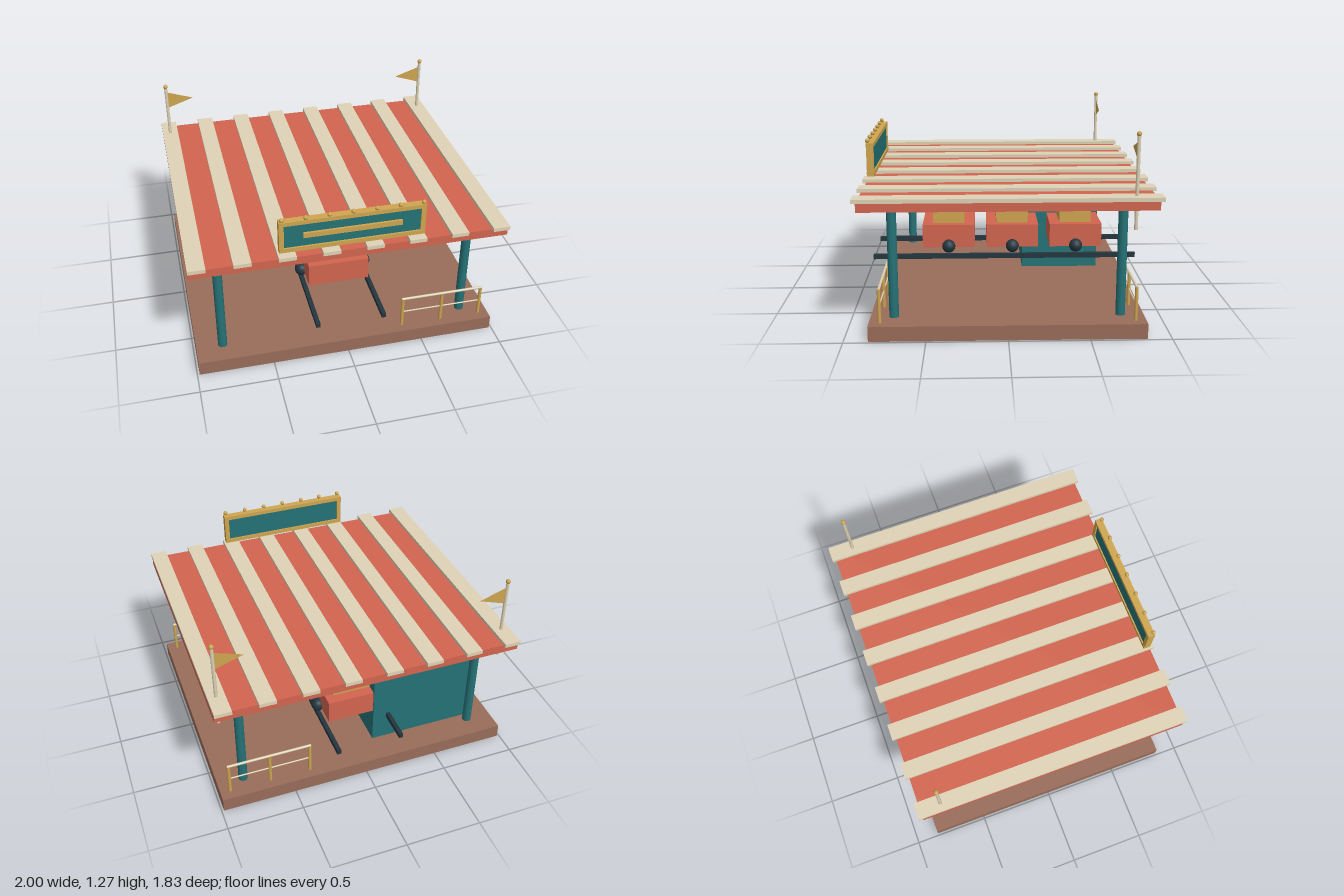
import * as THREE from 'three';

const mat = (color, side = THREE.FrontSide) => new THREE.MeshStandardMaterial({ color, side });
const RED = mat(0xd2654f), CREAM = mat(0xdfd3b6), TEAL = mat(0x257276), GOLD = mat(0xcfa650);
const BROWN = mat(0x996c59), DARK = mat(0x24363f), GLASS = mat(0x73a7b3);
const FLAG = mat(0xcfa650, THREE.DoubleSide);

function add(parent, name, geometry, material, x, y, z) {
  const mesh = new THREE.Mesh(geometry, material);
  mesh.name = name;
  mesh.position.set(x, y, z);
  parent.add(mesh);
  return mesh;
}

// Box given by its extents along each axis
function box(parent, name, material, [x0, x1], [y0, y1], [z0, z1]) {
  return add(parent, name, new THREE.BoxGeometry(x1 - x0, y1 - y0, z1 - z0), material,
    (x0 + x1) / 2, (y0 + y1) / 2, (z0 + z1) / 2);
}

// Upright round pole from y0 to y1
function pole(parent, name, material, r, x, y0, y1, z, sides = 10) {
  return add(parent, name, new THREE.CylinderGeometry(r, r, y1 - y0, sides), material, x, (y0 + y1) / 2, z);
}

function ball(parent, name, material, r, x, y, z, sides = 8) {
  return add(parent, name, new THREE.SphereGeometry(r, sides, Math.max(6, sides / 2)), material, x, y, z);
}

function group(parent, name) {
  const g = new THREE.Group();
  g.name = name;
  parent.add(g);
  return g;
}

export function createModel() {
  const model = new THREE.Group();
  model.name = 'rideStation';

  // Platform and roof posts
  box(model, 'platform', BROWN, [-0.985, 0.985], [0, 0.095], [-0.85, 0.85]);
  for (const x of [-0.812, 0.812])
    for (const z of [-0.704, 0.704]) pole(model, 'roofPost', TEAL, 0.03, x, 0.095, 0.812, z, 16);

  // Striped roof
  const roof = group(model, 'roof');
  box(roof, 'roofSlab', RED, [-0.998, 0.998], [0.81, 0.867], [-0.892, 0.892]);
  for (let i = 0; i < 8; i++) {
    const x = -0.946 + i * 0.2703;
    box(roof, 'roofStripe', CREAM, [x - 0.054, x + 0.054], [0.863, 0.888], [-0.917, 0.917]);
  }

  // Framed sign with a row of bulbs
  const sign = group(model, 'sign');
  box(sign, 'signPanel', TEAL, [-0.44, 0.44], [0.915, 1.11], [0.85, 0.877]);
  box(sign, 'signBar', GOLD, [-0.304, 0.304], [0.997, 1.03], [0.87, 0.892]);
  for (const [y0, y1] of [[0.906, 0.934], [1.093, 1.12]])
    box(sign, 'signFrameRail', GOLD, [-0.451, 0.451], [y0, y1], [0.841, 0.888]);
  for (const s of [-1, 1])
    box(sign, 'signFrameSide', GOLD, [s * 0.436 - 0.015, s * 0.436 + 0.015], [0.907, 1.119], [0.842, 0.887]);
  for (let i = -3; i <= 3; i++) ball(sign, 'signBulb', GOLD, 0.0145, i * 0.1443, 1.135, 0.88);

  // Flagpoles with pennants pointing inward
  for (const s of [-1, 1]) {
    const flagpole = group(model, 'flagpole');
    pole(flagpole, 'flagpoleShaft', CREAM, 0.011, s * 0.947, 0.68, 1.25, -0.758);
    ball(flagpole, 'flagpoleFinial', GOLD, 0.016, s * 0.947, 1.257, -0.758);
    const pennant = new THREE.Shape([
      new THREE.Vector2(0, -0.06), new THREE.Vector2(-s * 0.178, 0), new THREE.Vector2(0, 0.06)]);
    add(flagpole, 'pennant', new THREE.ShapeGeometry(pennant), FLAG, s * 0.939, 1.152, -0.758);
  }

  // Control booth with front window
  const booth = group(model, 'booth');
  box(booth, 'boothBody', TEAL, [-0.863, -0.11], [0.109, 0.624], [-0.672, -0.134]);
  box(booth, 'boothWindow', GLASS, [-0.703, -0.272], [0.397, 0.583], [-0.145, -0.124]);

  // Track rails
  for (const x of [-0.216, 0.216])
    box(model, 'trackRail', DARK, [x - 0.0135, x + 0.0135], [0.281, 0.313], [-0.892, 0.892]);

  // Train cars
  for (const z of [0.381, -0.052, -0.485]) {
    const car = group(model, 'car');
    box(car, 'carBody', RED, [-0.202, 0.202], [0.354, 0.511], [z - 0.177, z + 0.177]);
    box(car, 'carCabin', GOLD, [-0.149, 0.149], [0.511, 0.607], [z - 0.108, z + 0.108]);
    for (const x of [-0.216, 0.216]) ball(car, 'carWheel', DARK, 0.045, x, 0.366, z, 16);
  }

  // Safety railings at front and back
  for (const z of [-0.783, 0.783]) {
    const railing = group(model, 'railing');
    for (const x of [0.379, 0.649, 0.919]) pole(railing, 'railingPost', GOLD, 0.011, x, 0.095, 0.312, z);
    for (const [y, r] of [[0.311, 0.009], [0.204, 0.005]]) {
      const bar = new THREE.CylinderGeometry(r, r, 0.556, 8).rotateZ(Math.PI / 2);
      add(railing, 'railingBar', bar, CREAM, 0.649, y, z);
    }
  }

  return model;
}
